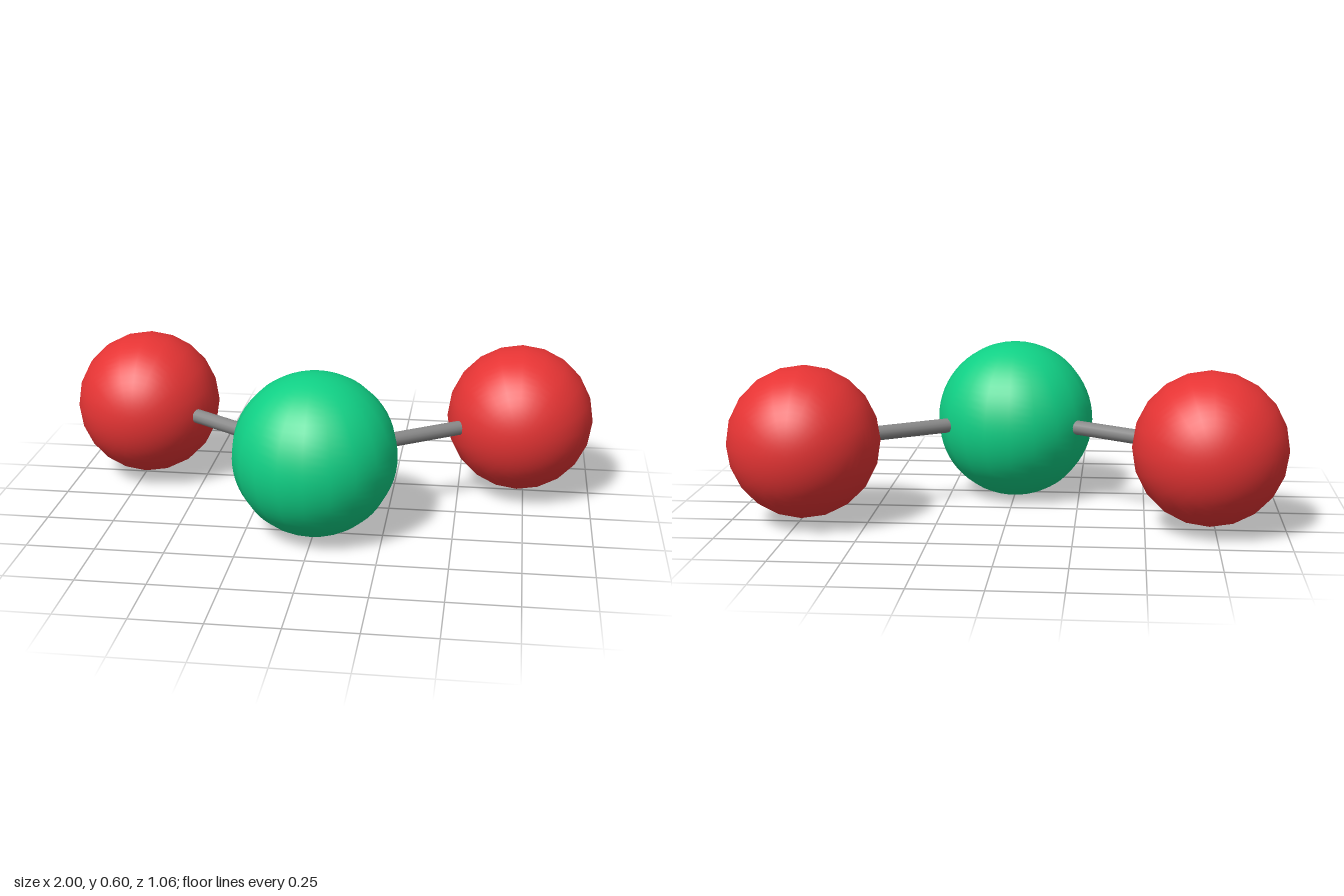
import * as THREE from 'three';

export function createModel() {
  const model = new THREE.Group();
  const green = new THREE.MeshStandardMaterial({ color: 0x10d085 });
  const red = new THREE.MeshStandardMaterial({ color: 0xe63434 });
  const grey = new THREE.MeshStandardMaterial({ color: 0x888888 });

  const add = (name, geometry, material, position) => {
    const mesh = new THREE.Mesh(geometry, material);
    mesh.name = name;
    mesh.position.copy(position);
    model.add(mesh);
    return mesh;
  };

  // Central atom, poles up and down
  const centre = new THREE.Vector3(0, 0.3, 0.233);
  add('centralAtom', new THREE.SphereGeometry(0.298, 20, 32), green, centre);

  // Outer atoms with their bonds, mirrored left and right
  for (const [side, s] of [['left', 1], ['right', -1]]) {
    const outer = new THREE.Vector3(s * 0.725, 0.3, -0.255);
    const ball = new THREE.SphereGeometry(0.275, 20, 32).rotateX(Math.PI / 2);
    add(side + 'OuterAtom', ball, red, outer);

    // Bond rod running from centre to centre
    const axis = outer.clone().sub(centre);
    const rod = new THREE.CylinderGeometry(0.027, 0.027, axis.length(), 16);
    const bond = add(side + 'Bond', rod, grey, centre.clone().lerp(outer, 0.5));
    bond.quaternion.setFromUnitVectors(new THREE.Vector3(0, 1, 0), axis.normalize());
  }
  return model;
}
